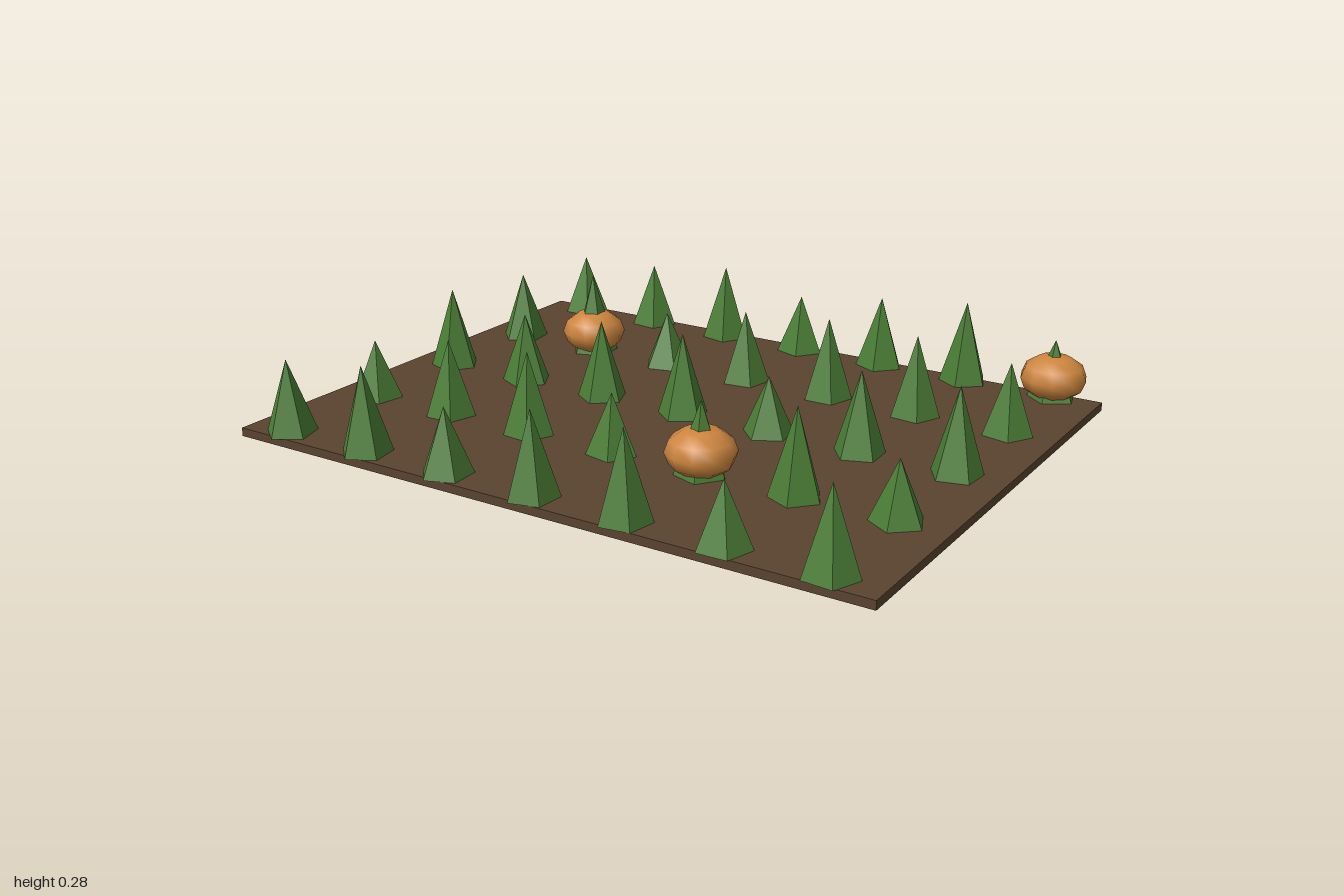
import * as THREE from 'three';

const soil = new THREE.MeshStandardMaterial({ name: 'soil brown', color: 0x5a422f });
const leaf = new THREE.MeshStandardMaterial({ name: 'leaf green', color: 0x4b7d36 });
const rind = new THREE.MeshStandardMaterial({ name: 'pumpkin orange', color: 0xcd853f });

const GROUND = 0.025;

// Plant heights above the soil, back row first, left to right
const HEIGHTS = [
  [0.19, 0.20, 0.235, 0.18, 0.22, 0.25, 0.18],
  [0.21, 0.25, 0.17, 0.22, 0.245, 0.24, 0.21],
  [0.245, 0.21, 0.235, 0.245, 0.17, 0.24, 0.25],
  [0.175, 0.225, 0.24, 0.175, 0.21, 0.25, 0.17],
  [0.216, 0.25, 0.19, 0.24, 0.25, 0.18, 0.235],
];

// Row and column of each pumpkin
const PUMPKINS = [[0, 6], [1, 1], [3, 4]];

const columnX = (c) => (c - 3) * 2 / 7;
const rowZ = (r) => 0.006 + (r - 2) * 0.358;

export function createModel() {
  const field = new THREE.Group();
  field.name = 'cropField';

  // Soil slab
  const slab = new THREE.Mesh(new THREE.BoxGeometry(2, GROUND, 1.52), soil);
  slab.name = 'soilBed';
  slab.position.set(0, GROUND / 2, 0.015);
  field.add(slab);

  // Five-sided leafy plants, each turned a little differently
  const cone = new THREE.ConeGeometry(0.075, 1, 5).toNonIndexed();
  cone.computeVertexNormals();
  cone.translate(0, 0.5, 0);
  const plants = new THREE.Group();
  plants.name = 'plants';
  HEIGHTS.forEach((row, r) => row.forEach((height, c) => {
    const plant = new THREE.Mesh(cone, leaf);
    plant.name = 'plant';
    plant.position.set(columnX(c), GROUND, rowZ(r));
    plant.scale.y = height;
    plant.rotation.y = Math.PI + (r * 7 + c) * 2.4;
    plants.add(plant);
  }));
  field.add(plants);

  // Squashed round pumpkins around three of the plants
  const ball = new THREE.SphereGeometry(0.1, 10, 6);
  const pumpkins = new THREE.Group();
  pumpkins.name = 'pumpkins';
  for (const [r, c] of PUMPKINS) {
    const pumpkin = new THREE.Mesh(ball, rind);
    pumpkin.name = 'pumpkin';
    pumpkin.position.set(columnX(c), 0.09, rowZ(r));
    pumpkin.scale.y = 0.7;
    pumpkins.add(pumpkin);
  }
  field.add(pumpkins);

  return field;
}
